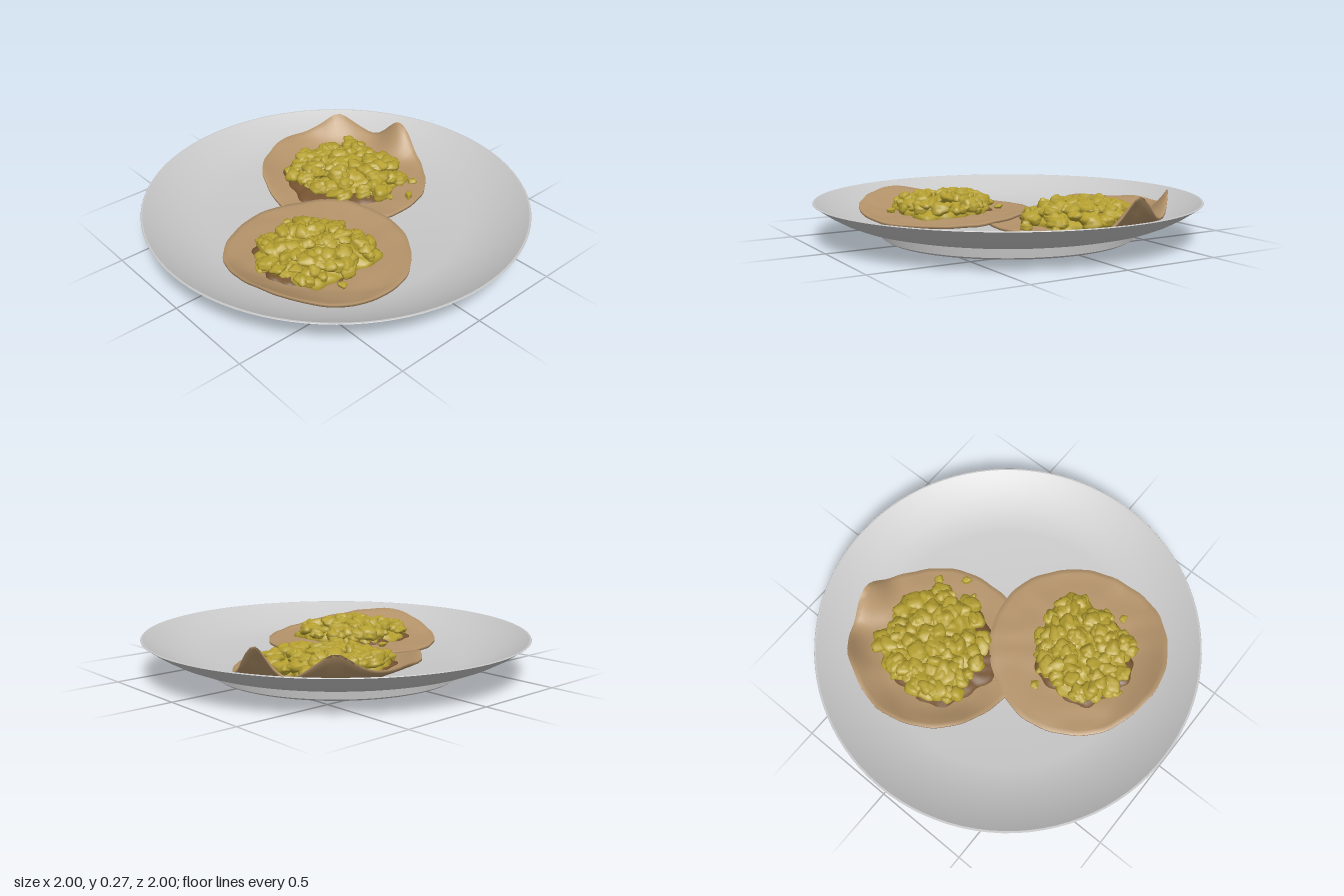
import * as THREE from 'three';
import { mergeVertices, mergeGeometries, toCreasedNormals } from 'three/addons/utils/BufferGeometryUtils.js';

const flat = (name, color) => Object.assign(new THREE.MeshStandardMaterial({ color }), { name });

// Seeded random numbers
let seed = 7;
const rand = () => (seed = (seed * 16807) % 2147483647) / 2147483647;

// Inner profile of the plate: [radius, height]
const INNER = [[0, 0.075], [0.66, 0.075], [0.74, 0.09], [0.82, 0.114], [0.9, 0.149], [0.96, 0.181], [0.99, 0.2]];
const OUTER = [[0, 0.005], [0.645, 0.005], [0.66, 0.015], [0.665, 0.058], [0.74, 0.074], [0.81, 0.092], [0.87, 0.117], [0.93, 0.15], [1, 0.197]];

// Height of the plate's inner surface at a point
function plateY(x, z) {
  const r = Math.hypot(x, z);
  for (let i = 1; i < INNER.length; i++) {
    const [r0, y0] = INNER[i - 1], [r1, y1] = INNER[i];
    if (r <= r1) return y0 + (y1 - y0) * (r - r0) / (r1 - r0);
  }
  return 0.2;
}

const bump = (x, z, [bx, bz, size, height]) =>
  height * Math.exp(-((x - bx) ** 2 + (z - bz) ** 2) / (2 * size * size));

const wrinkle = (x, z, f) =>
  Math.sin(x * f + 2 * Math.sin(z * f * 0.7)) * Math.sin(z * f * 1.1 + 1.5 * Math.sin(x * f * 0.8));

// Smooth normals after merging coincident vertices
function smooth(geometry) {
  geometry.deleteAttribute('uv');
  geometry.deleteAttribute('normal');
  const merged = mergeVertices(geometry, 1e-5);
  merged.computeVertexNormals();
  return merged;
}

// Round slab with free outline: radius(angle), top and bottom heights (x, z, rho)
function slab(cx, cz, radius, top, bottom, rings = 18, segments = 84) {
  const profile = [];
  for (let i = 0; i <= rings; i++) profile.push(new THREE.Vector2(i / rings, 0));
  for (let i = rings; i >= 0; i--) profile.push(new THREE.Vector2(i / rings, 1));
  const g = new THREE.LatheGeometry(profile, segments);
  const p = g.attributes.position;
  for (let i = 0; i < p.count; i++) {
    const rho = Math.hypot(p.getX(i), p.getZ(i));
    const a = Math.atan2(p.getZ(i), p.getX(i));
    const x = cx + Math.cos(a) * rho * radius(a), z = cz + Math.sin(a) * rho * radius(a);
    p.setXYZ(i, x, (p.getY(i) > 0.5 ? top : bottom)(x, z, rho), z);
  }
  return smooth(g);
}

// Outline radius interpolated from eight values around the circle
function outline(radii) {
  return (a) => {
    const t = ((a / (Math.PI / 4)) + 8) % 8, i = Math.floor(t), f = t - i;
    const s = f * f * (3 - 2 * f);
    return radii[i % 8] * (1 - s) + radii[(i + 1) % 8] * s + 0.012 * Math.sin(a * 9) + 0.009 * Math.sin(a * 17 + 1);
  };
}

// One crinkled curd of egg
function curd(x, y, z, r) {
  const g = new THREE.IcosahedronGeometry(1, 2);
  const p = g.attributes.position, v = new THREE.Vector3(), k = rand() * 6;
  for (let i = 0; i < p.count; i++) {
    v.fromBufferAttribute(p, i);
    v.multiplyScalar(1 + 0.2 * Math.sin(v.x * 3.5 + k) * Math.sin(v.z * 4 + 2 * k) + 0.12 * Math.sin(v.y * 5 + k));
    p.setXYZ(i, v.x, v.y, v.z);
  }
  g.scale(r * (0.75 + rand() * 0.6), r * (0.55 + rand() * 0.35), r * (0.75 + rand() * 0.6));
  g.rotateY(rand() * 6.28);
  g.rotateX((rand() - 0.5) * 0.8);
  g.translate(x, y, z);
  return smooth(g);
}

export function createModel() {
  const group = new THREE.Group();
  const plateGrey = flat('plateGrey', 0xc8c8c8);
  const breadTan = flat('breadTan', 0xb4936a);
  const fillingBrown = flat('fillingBrown', 0x755330);
  const eggYellow = flat('eggYellow', 0xb5a030);
  const add = (parent, name, geometry, material) => {
    const mesh = new THREE.Mesh(geometry, material);
    mesh.name = name;
    parent.add(mesh);
  };

  // Plate with foot, flat well and flared rim
  const profile = [...OUTER, [0.998, 0.2], ...INNER.slice().reverse()].map(([r, y]) => new THREE.Vector2(r, y));
  add(group, 'plate', toCreasedNormals(new THREE.LatheGeometry(profile, 96), 0.3), plateGrey);

  // Two topped flatbreads; the front one overlaps the back one
  const breads = [
    {
      name: 'backFlatbread', cx: 0.28, cz: -0.245, r: 0.455, lift: 0.006,
      bumps: [[0.72, -0.27, 0.075, 0.15], [0.56, -0.62, 0.09, 0.12], [0.15, -0.68, 0.2, 0.07], [-0.12, -0.5, 0.12, 0.05]],
      egg: [0.29, -0.25, [0.27, 0.33, 0.31, 0.27, 0.27, 0.34, 0.29, 0.32]],
      filling: [0.235, -0.255, 0.285], curds: 135, crumbs: [[0.4, 0.14], [0.31, 0.08], [0.52, 0.05]],
    },
    {
      name: 'frontFlatbread', cx: -0.3, cz: 0.205, r: 0.463, lift: 0.008,
      bumps: [[-0.72, 0.3, 0.2, 0.06], [0.08, -0.02, 0.16, 0.025]],
      egg: [-0.31, 0.2, [0.23, 0.34, 0.26, 0.31, 0.28, 0.31, 0.25, 0.23]],
      filling: [-0.365, 0.185, 0.245], curds: 115, crumbs: [[-0.25, -0.09], [-0.6, 0.14], [-0.39, 0.49]],
    },
  ];

  for (const b of breads) {
    const part = new THREE.Group();
    part.name = b.name;
    group.add(part);

    // Thin bread following the plate, with curled edges
    const base = (x, z) => {
      const w = Math.min(1, Math.hypot(x - b.cx, z - b.cz) / b.r) ** 3;
      const curl = b.bumps.reduce((sum, k) => sum + bump(x, z, k), 0);
      return plateY(x, z) + b.lift + w * curl + 0.003 * (1 + wrinkle(x, z, 16));
    };
    const edge = (a) => b.r * (1 + 0.01 * Math.sin(a * 3 + 1) + 0.006 * Math.sin(a * 7) + 0.004 * Math.sin(a * 19));
    const breadTop = (x, z) => base(x, z) + 0.014;
    add(part, 'bread', slab(b.cx, b.cz, edge, breadTop, base), breadTan);

    // Brown filling peeking out below the egg
    const [fx, fz, fr] = b.filling;
    add(part, 'filling', slab(fx, fz, (a) => fr + 0.015 * Math.sin(a * 5) + 0.008 * Math.sin(a * 13),
      (x, z, rho) => breadTop(x, z) + 0.003 + 0.035 * (1 - rho ** 4) + 0.004 * wrinkle(x, z, 50), base, 14), fillingBrown);

    // Scrambled egg: a crinkled mound covered with curds
    const [ex, ez, radii] = b.egg;
    const rim = outline(radii);
    const eggTop = (x, z, rho) => breadTop(x, z) + 0.012 + 0.068 * (1 - rho ** 3) + 0.009 * wrinkle(x, z, 55);
    const pieces = [slab(ex, ez, (a) => rim(a) * 0.93, eggTop, base, 24, 96)];
    for (let i = 0; i < b.curds; i++) {
      const a = rand() * Math.PI * 2, rho = Math.sqrt(rand()) * 0.95;
      const x = ex + Math.cos(a) * rho * rim(a), z = ez + Math.sin(a) * rho * rim(a);
      pieces.push(curd(x, eggTop(x, z, rho) + 0.004, z, 0.024 + rand() * 0.02));
    }
    for (const [x, z] of b.crumbs) pieces.push(curd(x, breadTop(x, z) + 0.012, z, 0.022));
    add(part, 'scrambledEgg', mergeGeometries(pieces), eggYellow);
  }
  return group;
}
